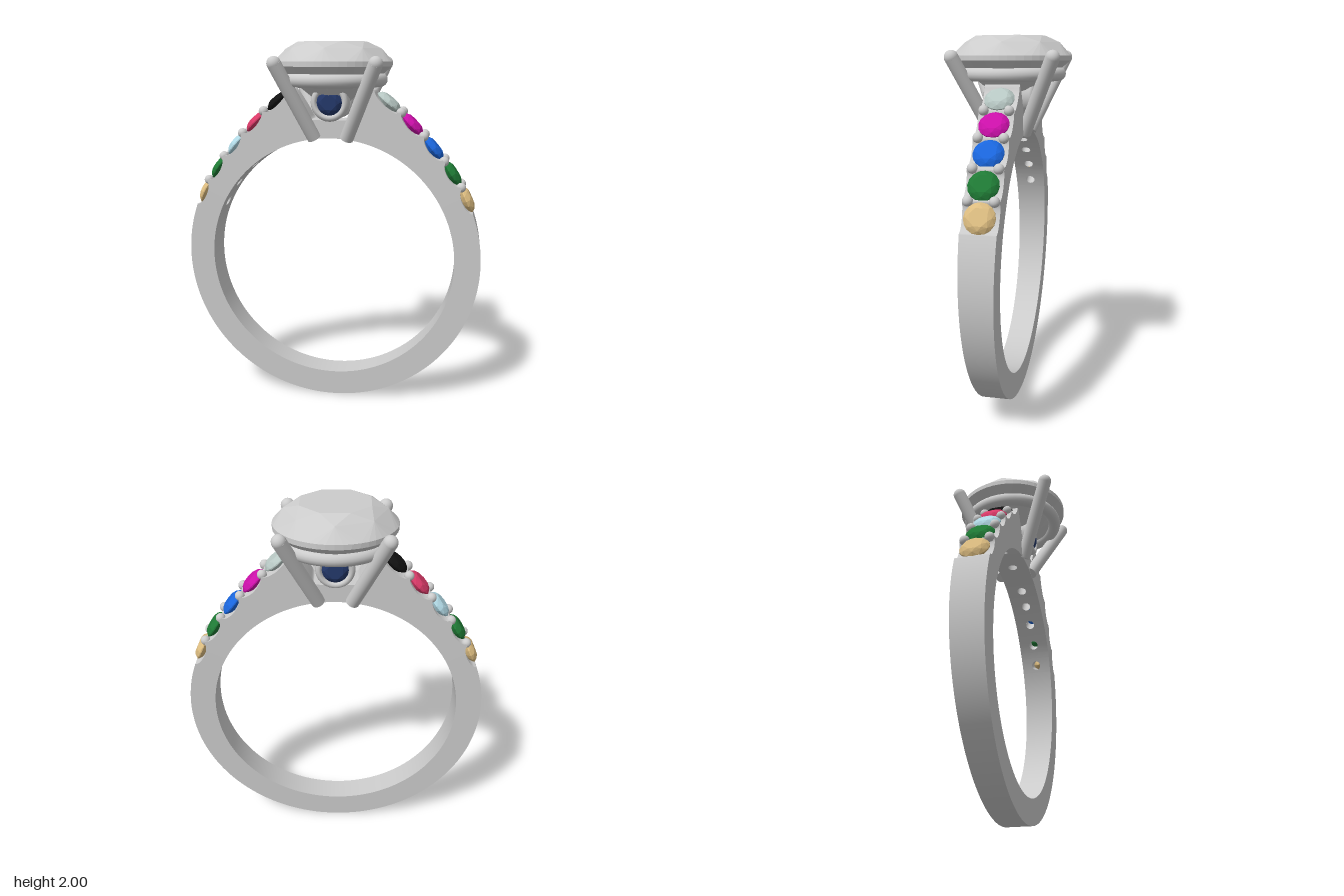
import * as THREE from 'three';
import { ConvexGeometry } from 'three/addons/geometries/ConvexGeometry.js';

const DEG = Math.PI / 180, CY = 0.82, INNER = 0.68;
const V = (x, y, z) => new THREE.Vector3(x, y, z);
const metal = new THREE.MeshStandardMaterial({ color: 0xcccccc, side: THREE.DoubleSide });

// Accent stones, angle from the top of the band
const STONES = [19.3, 29.7, 40.9, 52.7, 63.9];
const LEFT = [0xb8c8c4, 0xcc10aa, 0x1a66dd, 0x1f7a35, 0xdcbc80];
const RIGHT = [0x111111, 0xd83a68, 0xb0d8e4, 0x1f7a35, 0xdcbc80];

// Outer radius of the band: bridge, raised shoulder, round shank
const PROFILE = [[0, 0.77], [8.5, 0.785], [13.2, 0.965], [19.3, 0.925], [29.7, 0.872],
  [40.9, 0.837], [52.7, 0.822], [64, 0.82], [180, 0.82]];
function outerRadius(deg) {
  const a = Math.min(Math.abs(deg), 180);
  const i = Math.max(1, PROFILE.findIndex(p => p[0] >= a));
  const [a0, r0] = PROFILE[i - 1], [a1, r1] = PROFILE[i];
  return r0 + (r1 - r0) * (a - a0) / (a1 - a0);
}
// Same, with a scalloped seat under each stone
function seatRadius(deg) {
  let r = outerRadius(deg);
  for (const s of STONES) {
    const d = (Math.abs(deg) - s) / 5;
    if (Math.abs(d) < 1) r -= 0.03 * Math.sqrt(1 - d * d);
  }
  return r;
}

// Point on the band; side runs from -1 to 1 across its width, which grows upward
function bandPoint(deg, r, side) {
  const y = CY + r * Math.cos(deg * DEG);
  return V(r * Math.sin(deg * DEG), y, side * (0.07 + 0.02 * Math.min(1, y / 1.2)));
}

function surface(f, nu, nv) {
  const pos = [], index = [];
  for (let i = 0; i <= nu; i++) for (let j = 0; j <= nv; j++) pos.push(...f(i / nu, j / nv).toArray());
  for (let i = 0; i < nu; i++) for (let j = 0; j < nv; j++) {
    const a = i * (nv + 1) + j, b = a + nv + 1;
    index.push(a, a + 1, b, b, a + 1, b + 1);
  }
  const g = new THREE.BufferGeometry();
  g.setAttribute('position', new THREE.Float32BufferAttribute(pos, 3));
  g.setIndex(index);
  g.computeVertexNormals();
  return g;
}

function add(parent, name, geometry, material = metal) {
  const m = new THREE.Mesh(geometry, material);
  m.name = name;
  parent.add(m);
  return m;
}

// Round faceted stone, girdle at y = 0, table toward +y
function stoneGeometry(r, sides) {
  const pts = [V(0, -0.84 * r, 0)];
  const ring = (n, rad, y, turn = 0) => {
    for (let i = 0; i < n; i++) {
      const a = (i + turn) / n * Math.PI * 2;
      pts.push(V(rad * r * Math.cos(a), y * r, rad * r * Math.sin(a)));
    }
  };
  ring(8, 0.6, 0.36, 0.5);
  ring(8, 0.82, 0.25);
  ring(sides, 1, 0.04);
  ring(sides, 1, -0.04);
  ring(8, 0.55, -0.42);
  return new ConvexGeometry(pts);
}
const stoneMaterial = color => new THREE.MeshStandardMaterial({ color, flatShading: true });

function makeBand() {
  const band = new THREE.Group();
  band.name = 'band';
  add(band, 'bandOuter', surface((u, v) => {
    const a = u * 360 - 180;
    return bandPoint(a, seatRadius(a), 1 - 2 * v);
  }, 720, 1));
  for (const s of [1, -1]) add(band, 'bandSide', surface((u, v) => {
    const a = s * (u * 360 - 180);
    return bandPoint(a, INNER + (seatRadius(a) - INNER) * v, s);
  }, 720, 1));

  // Inner wall, pierced behind each stone and below the centre stone
  const holes = [...STONES.map(a => -a).reverse(), 0, ...STONES], half = 4, hr = 0.027;
  holes.forEach((c, i) => {
    add(band, 'innerWallPierced', surface((u, v) => {
      const x = Math.cos(u * 2 * Math.PI), z = Math.sin(u * 2 * Math.PI);
      const k = 1 / Math.max(Math.abs(x), Math.abs(z));
      const da = THREE.MathUtils.lerp(x * hr / (INNER * DEG), x * k * half, v);
      return bandPoint(c + da, INNER, THREE.MathUtils.lerp(z * hr / 0.09, z * k, v));
    }, 32, 2));
    const end = i < holes.length - 1 ? holes[i + 1] : holes[0] + 360;
    const a0 = c + half, a1 = end - half;
    add(band, 'innerWall', surface((u, v) => bandPoint(a0 + (a1 - a0) * u, INNER, 2 * v - 1),
      Math.ceil((a1 - a0) / 1.5), 1));
    const bore = add(band, 'stoneBore', new THREE.CylinderGeometry(hr, hr, 0.08, 24, 1, true));
    bore.position.copy(bandPoint(c, INNER + 0.04, 0));
    bore.rotation.z = -c * DEG;
  });
  return band;
}

function makeAccents() {
  const accents = new THREE.Group();
  accents.name = 'accentStones';
  const gem = stoneGeometry(0.077, 16), bead = new THREE.SphereGeometry(0.026, 16, 12);
  for (const s of [1, -1]) STONES.forEach((a, i) => {
    const at = d => bandPoint(s * d, outerRadius(d), 0);
    const t = at(a + 3).sub(at(a - 3)).normalize();
    const n = V(-t.y * s, t.x * s, 0);
    const m = add(accents, 'accentStone', gem, stoneMaterial((s > 0 ? LEFT : RIGHT)[i]));
    m.quaternion.setFromUnitVectors(V(0, 1, 0), n);
    m.position.copy(at(a)).addScaledVector(n, -0.006);
    // Pair of holding beads between neighbouring stones
    if (i < STONES.length - 1) for (const z of [-0.064, 0.064]) {
      const b = add(accents, 'holdingBead', bead);
      b.position.copy(at((a + STONES[i + 1]) / 2)).setZ(z);
    }
  });
  return accents;
}

function makeHead() {
  const head = new THREE.Group();
  head.name = 'head';
  add(head, 'centreStone', stoneGeometry(0.315, 48),
    new THREE.MeshStandardMaterial({ color: 0xcccccc, flatShading: true })).position.y = 1.887;

  const basket = add(head, 'basketRing', new THREE.TorusGeometry(0.255, 0.036, 16, 64));
  basket.rotation.x = Math.PI / 2;
  basket.position.y = 1.805;

  // Four flaring prongs with rounded tips
  for (const sx of [1, -1]) for (const sz of [1, -1]) {
    const foot = V(sx * 0.088, 1.5, sz * 0.088), tip = V(sx * 0.258, 1.89, sz * 0.258);
    const dir = tip.clone().sub(foot);
    const prong = add(head, 'prong', new THREE.CylinderGeometry(0.037, 0.037, dir.length(), 20));
    prong.position.copy(foot).add(tip).multiplyScalar(0.5);
    prong.quaternion.setFromUnitVectors(V(0, 1, 0), dir.normalize());
    add(head, 'prongTip', new THREE.SphereGeometry(0.037, 20, 14)).position.copy(tip);
  }

  // Bezel-set stones, front and back
  const wall = [[0.066, 0], [0.098, 0], [0.1, 0.08], [0.093, 0.095], [0.08, 0.1], [0.07, 0.094], [0.066, 0.08], [0.066, 0]];
  for (const s of [1, -1]) {
    const bezel = new THREE.Group();
    bezel.name = 'sideBezel';
    add(bezel, 'bezelWall', new THREE.LatheGeometry(wall.map(p => new THREE.Vector2(...p)), 40));
    add(bezel, 'bezelStone', stoneGeometry(0.068, 16), stoneMaterial(0x24386a)).position.y = 0.08;
    bezel.rotation.x = s * Math.PI / 2;
    bezel.position.set(0, 1.69, s * 0.035);
    head.add(bezel);
  }
  return head;
}

export function createModel() {
  const ring = new THREE.Group();
  ring.name = 'ring';
  ring.add(makeBand(), makeAccents(), makeHead());
  return ring;
}
